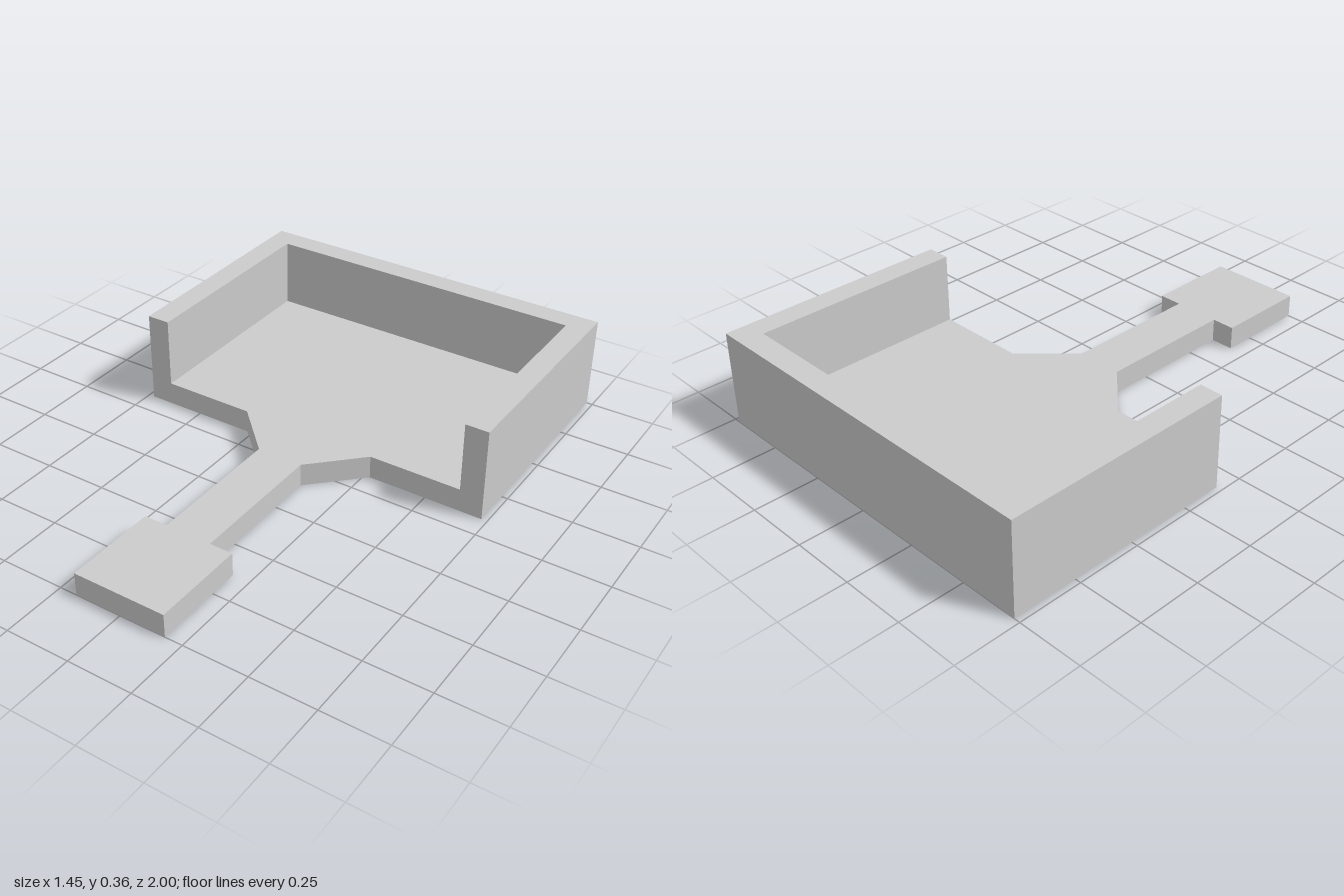
import * as THREE from 'three';

const U = 1 / 11; // wall and floor thickness; the scoop is 22 units long

// Extrude a left-right symmetric plan, given as [x, z] points of its +x half, upwards from y0.
function plate(name, half, y0, height) {
  const mirrored = half.map(([x, z]) => [-x, z]).reverse();
  const points = [...half, ...mirrored].map(([x, z]) => new THREE.Vector2(x * U, -z * U));
  const geometry = new THREE.ExtrudeGeometry(new THREE.Shape(points), { depth: height * U, bevelEnabled: false });
  geometry.rotateX(-Math.PI / 2).translate(0, y0 * U, 0);
  const mesh = new THREE.Mesh(geometry, new THREE.MeshStandardMaterial({ color: 0xcccccc, flatShading: true }));
  mesh.name = name;
  return mesh;
}

export function createModel() {
  const group = new THREE.Group();
  group.name = 'scoop';

  // Floor, tapered neck and grip in one flat outline
  group.add(plate('floorAndHandle', [
    [8, -11], [8, -1], [3, -1], [1, 1], [1, 7], [2, 7], [2, 11],
  ], 0, 1));

  // U-shaped rim, open towards the handle
  group.add(plate('rimWalls', [
    [8, -11], [8, -1], [7, -1], [7, -10],
  ], 1, 3));

  return group;
}
